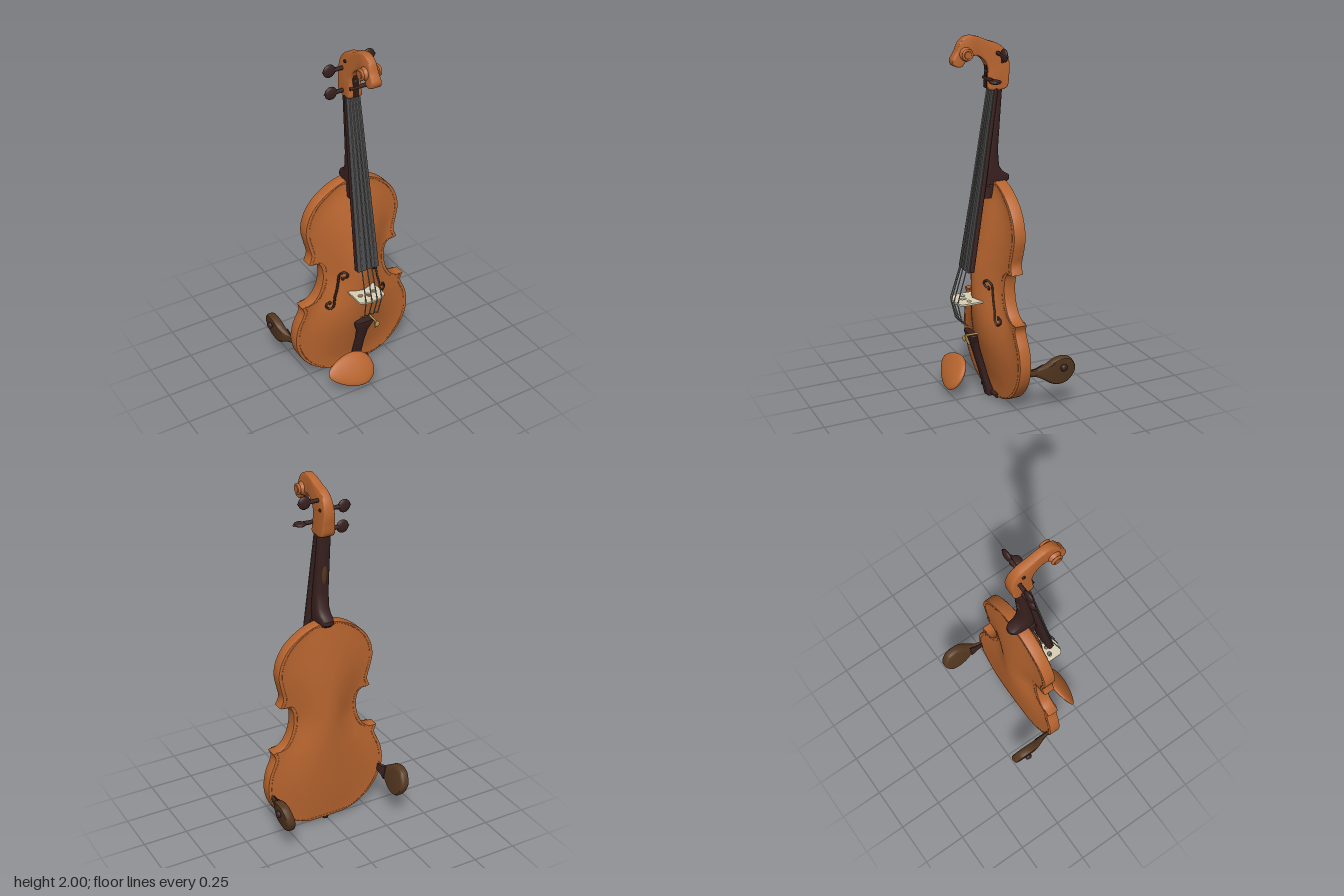
import * as THREE from 'three';
import { toCreasedNormals } from 'three/addons/utils/BufferGeometryUtils.js';

const mat = (name, color) => {
  const m = new THREE.MeshStandardMaterial({ color });
  m.name = name;
  return m;
};

// Smooth value through a list of [y, value] pairs
function table(pairs) {
  const it = new THREE.CubicInterpolant(pairs.map(p => p[0]), pairs.map(p => p[1]), 1, [0]);
  return y => it.evaluate(y)[0];
}

function buildGeometry(pos, idx) {
  const g = new THREE.BufferGeometry();
  g.setAttribute('position', new THREE.Float32BufferAttribute(pos, 3));
  g.setIndex(idx);
  return g;
}

// Solid through rounded-rectangle rings [y, halfWidth, centreZ, halfDepth], going up
function loft(rings, power = 4, n = 28) {
  const pos = [], idx = [];
  const bend = v => Math.sign(v) * Math.abs(v) ** (2 / power);
  for (const [y, hw, zc, hd] of rings) {
    for (let j = 0; j < n; j++) {
      const a = (j / n) * Math.PI * 2;
      pos.push(hw * bend(Math.sin(a)), y, zc + hd * bend(Math.cos(a)));
    }
  }
  for (let i = 0; i < rings.length - 1; i++) {
    for (let j = 0; j < n; j++) {
      const a = i * n + j, b = i * n + (j + 1) % n;
      idx.push(a, b, a + n, b, b + n, a + n);
    }
  }
  const last = (rings.length - 1) * n;
  for (let j = 1; j < n - 1; j++) idx.push(0, j + 1, j, last, last + j, last + j + 1);
  return toCreasedNormals(buildGeometry(pos, idx), 0.7);
}

// Side profile (z, y) extruded across x, then moved point by point with a rule for x
function sideExtrude(points, depth, bevel, ruleX) {
  const g = new THREE.ExtrudeGeometry(new THREE.Shape(points), { depth: depth - 2 * bevel, bevelThickness: bevel,
    bevelSize: bevel, bevelOffset: -bevel, bevelSegments: 3 });
  g.translate(0, 0, bevel - depth / 2).rotateY(-Math.PI / 2);
  const p = g.attributes.position;
  for (let i = 0; i < p.count; i++) p.setX(i, ruleX(p.getX(i), p.getY(i), p.getZ(i)));
  return toCreasedNormals(g, 0.6);
}

export function createModel() {
  const root = new THREE.Group();
  const model = new THREE.Group();
  model.name = 'violin';
  model.position.x = 0.008;
  root.add(model);

  const wood = mat('varnished wood', 0xb8652f);
  const ebony = mat('dark stained wood', 0x38211f);
  const board = mat('fingerboard grey', 0x4b4b4d);
  const black = mat('hole black', 0x2f1a12);
  const steel = mat('string grey', 0x7c7c78);
  const ivory = mat('pale bridge', 0xd8d0b4);
  const olive = mat('shoulder pad brown', 0x553820);
  const gold = mat('tuner brass', 0xb08d4c);

  const add = (name, geometry, material) => {
    const m = new THREE.Mesh(geometry, material);
    m.name = name;
    model.add(m);
    return m;
  };
  const rod = (name, a, b, r0, r1, material) => {
    const p = new THREE.Vector3(...a), q = new THREE.Vector3(...b);
    const m = add(name, new THREE.CylinderGeometry(r1, r0, p.distanceTo(q), 10), material);
    m.position.copy(p).lerp(q, 0.5);
    m.quaternion.setFromUnitVectors(new THREE.Vector3(0, 1, 0), q.sub(p).normalize());
  };
  const ball = (name, pos, scale, material) => {
    const m = add(name, new THREE.SphereGeometry(1, 24, 16), material);
    m.position.set(...pos);
    m.scale.set(...scale);
    return m;
  };

  // Half outline of the body: lower bout, waist, upper bout, meeting in sharp corners
  const bouts = [
    [[0, 0.02], [0.1, 0.024], [0.19, 0.05], [0.265, 0.1], [0.322, 0.17], [0.352, 0.24], [0.361, 0.31], [0.348, 0.39], [0.322, 0.45], [0.31, 0.49], [0.324, 0.525]],
    [[0.324, 0.525], [0.275, 0.53], [0.235, 0.56], [0.205, 0.62], [0.193, 0.69], [0.2, 0.75], [0.225, 0.783], [0.275, 0.79]],
    [[0.275, 0.79], [0.257, 0.84], [0.27, 0.9], [0.285, 0.98], [0.27, 1.06], [0.225, 1.135], [0.15, 1.195], [0.07, 1.23], [0, 1.24]],
  ];
  const half = bouts.flatMap((b, i) =>
    new THREE.SplineCurve(b.map(p => new THREE.Vector2(...p))).getPoints(30).slice(i ? 1 : 0));

  // Arching of the front and back plates
  const archWidth = table([[0.02, 0.06], [0.05, 0.17], [0.1, 0.245], [0.17, 0.3], [0.3, 0.34], [0.45, 0.3], [0.55, 0.235], [0.66, 0.19],
    [0.76, 0.205], [0.85, 0.235], [0.97, 0.265], [1.06, 0.25], [1.13, 0.205], [1.19, 0.13], [1.24, 0.05]]);
  const frontPeak = table([[0.02, 0.042], [0.1, 0.05], [0.2, 0.075], [0.4, 0.125], [0.6, 0.148], [0.75, 0.148],
    [0.9, 0.125], [1.05, 0.09], [1.2, 0.047], [1.24, 0.042]]);
  const backPeak = table([[0.02, -0.025], [0.2, -0.042], [0.45, -0.056], [0.65, -0.062], [0.9, -0.056], [1.1, -0.04], [1.24, -0.025]]);
  const bow = y => 0.015 * Math.exp(-(((y - 0.66) / 0.22) ** 2));
  const surface = (x, y, front) => {
    const rim = (front ? 0.042 : -0.025) + bow(y);
    const t = Math.min(Math.abs(x) / Math.max(archWidth(y), 0.02), 1);
    return rim + ((front ? frontPeak : backPeak)(y) - rim) * Math.cos(t * Math.PI / 2) ** 2;
  };

  // Ribs
  const loop = [...half, ...half.slice(1, -1).reverse().map(p => new THREE.Vector2(-p.x, p.y))];
  const ribs = new THREE.ExtrudeGeometry(new THREE.Shape(loop),
    { depth: 0.055, bevelThickness: 0.006, bevelSize: 0.006, bevelOffset: -0.006, bevelSegments: 2 });
  ribs.translate(0, 0, -0.0195);
  const rp = ribs.attributes.position;
  for (let i = 0; i < rp.count; i++) rp.setZ(i, rp.getZ(i) + bow(rp.getY(i)));
  add('ribs', toCreasedNormals(ribs, 0.6), wood);

  // Arched plates with a fine bead around each
  for (const front of [true, false]) {
    const side = front ? 1 : -1, cols = 40, pos = [], idx = [];
    half.forEach((p, i) => {
      const w = Math.max(p.x - 0.005, 0), y = THREE.MathUtils.clamp(p.y, 0.025, 1.235);
      for (let j = 0; j <= cols; j++) {
        const x = w * (j / cols * 2 - 1);
        pos.push(x, y, surface(x, y, front) + side * 0.0015);
      }
      if (!i) return;
      for (let j = 0; j < cols; j++) {
        const c = i * (cols + 1) + j, a = c - cols - 1;
        if (front) idx.push(a, a + 1, c, a + 1, c + 1, c);
        else idx.push(a, c, a + 1, a + 1, c, c + 1);
      }
    });
    const g = buildGeometry(pos, idx);
    g.computeVertexNormals();
    add(front ? 'frontPlate' : 'backPlate', g, wood);
    const line = loop.filter(p => Math.abs(p.x) > 0.03).map(p => {
      const x = p.x - Math.sign(p.x) * 0.02, y = THREE.MathUtils.clamp(p.y, 0.037, 1.222);
      return new THREE.Vector3(x, y, surface(x, y, front));
    });
    add('edgeBead', new THREE.TubeGeometry(new THREE.CatmullRomCurve3(line, true), 320, 0.003, 6, true), wood);
  }

  // Sound holes
  const fPath = [[0.098, 0.672], [0.082, 0.682], [0.076, 0.7], [0.092, 0.714], [0.112, 0.695], [0.118, 0.65], [0.127, 0.6],
    [0.14, 0.55], [0.147, 0.505], [0.163, 0.483], [0.183, 0.495], [0.18, 0.515], [0.165, 0.52]];
  for (const s of [-1, 1]) {
    const pts = fPath.map(([x, y]) => new THREE.Vector3(s * x, y, surface(x, y, true) - 0.001));
    add('soundHole', new THREE.TubeGeometry(new THREE.CatmullRomCurve3(pts), 70, 0.008, 6), black);
    for (const p of [pts[0], pts[pts.length - 1]]) ball('soundHoleEnd', p.toArray(), [0.012, 0.012, 0.007], black);
  }

  // Neck with heel and worn patch; dark fingerboard with a grey playing face
  const neckRings = [[1.15, 0.045, 0.03, 0.105], [1.215, 0.045, 0.03, 0.1], [1.22, 0.04, -0.045, 0.1], [1.235, 0.042, -0.061, 0.1],
    [1.255, 0.042, -0.058, 0.1], [1.275, 0.042, -0.025, 0.098], [1.31, 0.042, 0, 0.095], [1.4, 0.041, 0.008, 0.08],
    [1.55, 0.038, -0.003, 0.055], [1.725, 0.036, -0.015, 0.03]];
  add('neck', loft(neckRings.map(([y, w, b, f]) => [y, w, (b + f) / 2, (f - b) / 2]), 2.6), ebony);
  ball('neckPatch', [0, 1.5, 0.005], [0.016, 0.06, 0.008], olive).rotation.x = -0.07;
  add('fingerboard', loft([[0.76, 0.069, 0.18, 0.02], [1.25, 0.057, 0.1, 0.018], [1.725, 0.042, 0.026, 0.015]], 3.2), ebony);
  add('fingerboardFace', loft([[0.759, 0.066, 0.198, 0.005], [1.25, 0.054, 0.116, 0.005], [1.725, 0.04, 0.04, 0.005]], 4), board);

  // Curved head, narrowing upward
  const outline = [[0.035, 1.715], [-0.035, 1.725], [-0.05, 1.79], [-0.053, 1.85], [-0.035, 1.91], [0.005, 1.95], [0.06, 1.97], [0.12, 1.995],
    [0.175, 2], [0.215, 1.975], [0.238, 1.925], [0.26, 1.885], [0.25, 1.855], [0.21, 1.85], [0.18, 1.885], [0.135, 1.9], [0.1, 1.885],
    [0.075, 1.855], [0.065, 1.82], [0.068, 1.77], [0.068, 1.725]];
  const headCurve = new THREE.SplineCurve([...outline, outline[0]].map(p => new THREE.Vector2(...p)));
  add('head', sideExtrude(headCurve.getPoints(90).slice(0, -1), 0.08, 0.01,
    (x, y) => x * (1 - 0.45 * Math.max(0, (y - 1.72) / 0.28))), wood);
  const slot = add('pegSlot', new THREE.BoxGeometry(0.034, 0.13, 0.008), black);
  slot.position.set(0, 1.79, 0.067);
  for (const s of [-1, 1]) {
    const eye = add('scrollEye', new THREE.CylinderGeometry(0.018, 0.042, 0.045, 24), wood);
    eye.position.set(s * 0.036, 1.912, 0.19);
    eye.rotation.z = -s * Math.PI / 2;
    const curl = add('scrollCurl', new THREE.TorusGeometry(0.024, 0.007, 8, 24), wood);
    curl.position.set(s * 0.05, 1.912, 0.19);
    curl.rotation.y = Math.PI / 2;
  }

  // Tuning pegs
  for (const [s, y, z, flat] of [[-1, 1.86, -0.01, false], [-1, 1.745, 0.005, false], [1, 1.905, 0.015, false], [1, 1.775, 0.065, true]]) {
    rod('pegShaft', [-s * 0.035, y, z], [s * 0.085, y, z], 0.009, 0.012, ebony);
    ball('pegHead', [s * 0.106, y, z], flat ? [0.031, 0.012, 0.033] : [0.035, 0.035, 0.014], ebony);
    ball('pegTip', [s * 0.138, y, z], [0.008, 0.006, 0.006], ebony);
  }

  // Strings
  for (let i = 0; i < 4; i++) {
    const k = i - 1.5, edge = Math.abs(k) > 1 ? 0.008 : 0;
    const stops = [[k * 0.008, 1.82, 0.07], [k * 0.017, 1.72, 0.05], [k * 0.028, 0.77, 0.211 - edge],
      [k * 0.033, 0.59, 0.266 - edge], [k * 0.028, 0.475, 0.232], [k * 0.028, 0.452, 0.195]];
    for (let j = 1; j < stops.length; j++) rod('string', stops[j - 1], stops[j], 0.0032, 0.0032, steel);
  }

  // Bridge, a thin arched plate with cut-outs, standing off the body
  const bs = new THREE.Shape();
  bs.moveTo(-0.08, 0.125);
  bs.lineTo(-0.035, 0.125);
  bs.quadraticCurveTo(0, 0.18, 0.035, 0.125);
  bs.lineTo(0.08, 0.125);
  bs.lineTo(0.08, 0.235);
  bs.quadraticCurveTo(0.072, 0.263, 0, 0.265);
  bs.quadraticCurveTo(-0.072, 0.263, -0.08, 0.235);
  for (const [x, z, rx, rz] of [[0, 0.205, 0.012, 0.018], [-0.043, 0.19, 0.014, 0.012], [0.043, 0.19, 0.014, 0.012]]) {
    bs.holes.push(new THREE.Path().absellipse(x, z, rx, rz, 0, Math.PI * 2, true));
  }
  const bridge = add('bridge', new THREE.ExtrudeGeometry(bs, { depth: 0.01, bevelEnabled: false }), ivory);
  bridge.rotation.x = Math.PI / 2;
  bridge.position.y = 0.593;

  // Tailpiece, its end clamp and fine tuner
  add('tailpiece', loft([[0.008, 0.034, 0.052, 0.024], [0.04, 0.034, 0.06, 0.022], [0.08, 0.026, 0.073, 0.02], [0.22, 0.025, 0.113, 0.02],
    [0.31, 0.032, 0.139, 0.02], [0.35, 0.048, 0.151, 0.022], [0.385, 0.061, 0.162, 0.023], [0.396, 0.056, 0.165, 0.02]], 3.5), ebony);
  rod('tailClamp', [-0.095, 0.03, 0.048], [0.095, 0.03, 0.048], 0.013, 0.013, ebony);
  rod('endPin', [0, 0.022, -0.005], [0, 0.004, -0.005], 0.022, 0.018, ebony);
  rod('fineTuner', [0.045, 0.4, 0.14], [0.045, 0.4, 0.215], 0.006, 0.006, gold);
  rod('fineTunerLever', [0.045, 0.4, 0.215], [0.05, 0.35, 0.195], 0.009, 0.007, gold);
  ball('fineTunerScrew', [0.048, 0.385, 0.222], [0.016, 0.016, 0.007], gold);

  // Chin rest: an egg-shaped pad tilted away from the body
  const egg = new THREE.SphereGeometry(1, 40, 24);
  const ep = egg.attributes.position;
  for (let i = 0; i < ep.count; i++) {
    const x = ep.getX(i), taper = 1 + 0.3 * x;
    ep.setXYZ(i, x * 0.138, (ep.getY(i) * taper - 0.14 * x) * 0.093, ep.getZ(i) * taper * 0.027);
  }
  egg.computeVertexNormals();
  const chin = add('chinRest', egg, wood);
  chin.position.set(-0.12, 0.136, 0.224);
  chin.rotation.x = -0.58;

  // Shoulder rest feet: paddles whose thin stalk swells into a round pad
  const swell = z => THREE.MathUtils.smoothstep(-z, 0.02, 0.15);
  const lean = y => 0.18 * (y - 0.25);
  const paddle = new THREE.SplineCurve([[-0.01, 0.232], [-0.06, 0.228], [-0.105, 0.205], [-0.15, 0.176], [-0.2, 0.166], [-0.25, 0.184],
    [-0.281, 0.25], [-0.25, 0.316], [-0.2, 0.334], [-0.15, 0.324], [-0.105, 0.295], [-0.06, 0.272], [-0.01, 0.268]]
    .map(p => new THREE.Vector2(...p))).getPoints(60);
  const stalk = [[-0.01, 0.232], [-0.06, 0.228], [-0.105, 0.21], [-0.105, 0.29], [-0.06, 0.272], [-0.01, 0.268]].map(p => new THREE.Vector2(...p));
  for (const s of [-1, 1]) {
    // Rounded toward the far end, thinner at the body
    add('shoulderPad', sideExtrude(paddle.slice().reverse(), 0.04, 0.014, (x, y, z) =>
      s * (0.337 + 0.018 * swell(z) + lean(y)) + x * (0.4 + 0.85 * swell(z))), olive);
    add('shoulderStalk', sideExtrude(stalk, 0.006, 0.001, (x, y, z) =>
      s * (0.337 + 0.018 * swell(z) + lean(y) - 0.02 * (0.4 + 0.85 * swell(z)) - 0.001) + x), ebony);
    rod('shoulderKnobStem', [s * 0.365, 0.273, -0.2], [s * 0.397, 0.273, -0.2], 0.012, 0.012, ebony);
    ball('shoulderKnob', [s * 0.394, 0.275, -0.2], [0.013, 0.02, 0.02], ebony);
  }
  return root;
}
